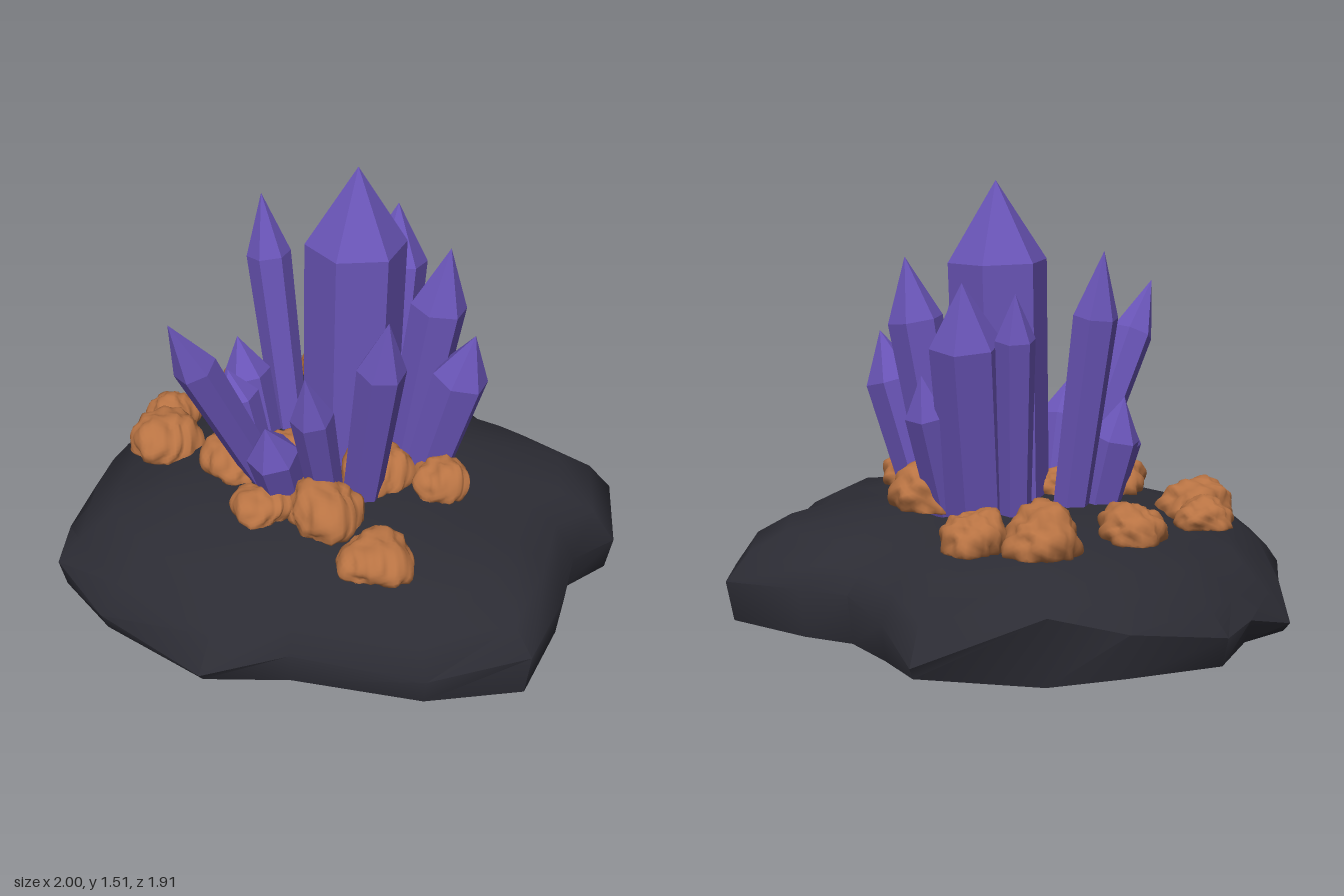
import * as THREE from 'three';
import { mergeVertices, toCreasedNormals } from 'three/addons/utils/BufferGeometryUtils.js';

const mat = (name, color, flatShading = false) =>
  Object.assign(new THREE.MeshStandardMaterial({ color, flatShading }), { name });

// Outline of the slab, counterclockwise from above: [x, z, rim height, shoulder height]
const outline = [
  [0.98, -0.32, 0.12, 0.24], [0.85, -0.61, 0.14, 0.24], [0.52, -0.69, 0.17, 0.24], [0.33, -0.7, 0.17, 0.24],
  [0.14, -0.83, 0.13, 0.22], [-0.02, -0.96, 0.04, 0.17], [-0.45, -0.88, 0.23, 0.26], [-0.66, -0.7, 0.15, 0.22],
  [-0.91, -0.46, 0.1, 0.18], [-0.91, -0.18, 0.08, 0.15], [-1, 0, 0.03, 0.13], [-0.89, 0.27, 0.1, 0.17],
  [-0.82, 0.53, 0.1, 0.19], [-0.73, 0.73, 0.1, 0.18], [-0.45, 0.87, 0.06, 0.16], [0, 0.95, 0.03, 0.15],
  [0.27, 0.81, 0.12, 0.2], [0.72, 0.69, 0.1, 0.2], [1, 0.48, 0.16, 0.24], [0.97, 0.13, 0.16, 0.26],
  [0.9, -0.13, 0.13, 0.26],
];

// Slab: rings shrinking from the outline up to a gently domed plateau
function slabGeometry() {
  const n = outline.length;
  const rings = [
    [0.975, () => 0], [1, rim => rim], [0.92, (rim, h) => h], [0.8, (rim, h) => 0.19 + h / 2],
    [0.6, (rim, h) => 0.305 + h / 5], [0.42, () => 0.393], [0.2, () => 0.4],
  ];
  const pos = [], index = [];
  for (const [s, height] of rings) {
    for (const [x, z, rim, h] of outline) pos.push(x * s, height(rim, h), z * s);
  }
  for (let k = 0; k < rings.length - 1; k++) {
    for (let i = 0; i < n; i++) {
      const a = k * n + i, b = k * n + (i + 1) % n;
      index.push(a, b, b + n, a, b + n, a + n);
    }
  }
  // Centre points of the top and of the flat underside
  const top = rings.length * n, bottom = top + 1, last = top - n;
  pos.push(0, 0.4, 0, 0, 0, 0);
  for (let i = 0; i < n; i++) {
    const j = (i + 1) % n;
    index.push(top, last + i, last + j, bottom, j, i);
  }
  const g = new THREE.BufferGeometry();
  g.setAttribute('position', new THREE.Float32BufferAttribute(pos, 3));
  g.setIndex(index);
  return toCreasedNormals(g, 0.95);
}

// Six-sided crystal from its foot to its tip, slightly wider at the shoulder
function crystal(foot, tip, r, shoulder, taper, material) {
  const a = new THREE.Vector3(...foot), b = new THREE.Vector3(...tip);
  const dir = b.clone().sub(a), len = dir.length();
  const profile = [[r * taper, -0.03], [r, len * shoulder], [0, len]].map(p => new THREE.Vector2(...p));
  const mesh = new THREE.Mesh(new THREE.LatheGeometry(profile, 6, 0.1), material);
  mesh.position.copy(a);
  mesh.quaternion.setFromUnitVectors(new THREE.Vector3(0, 1, 0), dir.normalize());
  return mesh;
}

// Craggy nugget with a flat underside at y = 0
function nuggetGeometry(r, height, seed) {
  let g = new THREE.IcosahedronGeometry(1, 8);
  g.deleteAttribute('normal');
  g.deleteAttribute('uv');
  g = mergeVertices(g);
  const p = g.attributes.position, v = new THREE.Vector3();
  for (let i = 0; i < p.count; i++) {
    v.fromBufferAttribute(p, i);
    const bump = 0.08 * Math.sin(2.7 * v.x + 1.9 * v.y - 1.3 * v.z + seed)
      + 0.07 * Math.sin(3.1 * v.z - 2.3 * v.x + seed * 2.3)
      + 0.05 * Math.sin(6.1 * v.x + 4.3 * v.z + 3.7 * v.y + seed * 3.1)
      + 0.04 * Math.sin(9.7 * v.z - 7.1 * v.x + 5.3 * v.y + seed * 1.7)
      + 0.025 * Math.sin(17 * v.x - 11 * v.z + seed) + 0.025 * Math.sin(19 * v.z + 13 * v.y + seed);
    v.multiplyScalar(0.97 + bump);
    p.setXYZ(i, v.x * r, (Math.max(v.y, -0.3) + 0.3) * height / 1.3, v.z * r);
  }
  g.computeVertexNormals();
  return g;
}

// Each crystal: foot x, foot z, tip x, y, z, radius, shoulder fraction, foot taper
const crystals = {
  centralCrystal: [0.05, -0.025, 0.07, 1.515, -0.04, 0.178, 0.75, 0.95],
  backCrystalLarge: [0.04, -0.29, 0.02, 1.2, -0.45, 0.125, 0.74, 0.88],
  backCrystalLeft: [-0.1, -0.28, -0.15, 1.165, -0.4, 0.07, 0.8, 0.8],
  backCrystalRight: [0.14, -0.29, 0.18, 0.88, -0.43, 0.085, 0.72, 0.85],
  leftCrystalTall: [-0.23, -0.08, -0.36, 1.29, -0.12, 0.08, 0.75, 0.8],
  leftCrystalLow: [-0.3, 0.02, -0.39, 0.77, 0.02, 0.09, 0.62, 0.85],
  leftCrystalSmall: [-0.28, 0.12, -0.36, 0.7, 0.14, 0.085, 0.66, 0.85],
  rightCrystalTall: [0.25, -0.08, 0.38, 1.245, -0.13, 0.1, 0.74, 0.8],
  rightCrystalLow: [0.35, -0.05, 0.51, 0.97, -0.07, 0.1, 0.7, 0.8],
  frontCrystalTall: [0.22, 0.2, 0.36, 1.155, 0.29, 0.085, 0.74, 0.8],
  frontCrystalLeaning: [-0.13, 0.27, -0.3, 1.12, 0.59, 0.077, 0.74, 0.8],
  frontCrystalThin: [0.13, 0.29, 0.14, 0.97, 0.46, 0.075, 0.7, 0.8],
  frontCrystalShort: [-0.01, 0.34, -0.01, 0.74, 0.47, 0.092, 0.62, 0.85],
};

// Each nugget: x, underside y, z, radius, height
const nuggets = [
  [-0.3, 0.34, -0.54, 0.14, 0.16], [-0.08, 0.34, -0.6, 0.11, 0.145], [-0.52, 0.34, -0.27, 0.115, 0.13],
  [-0.68, 0.335, 0.03, 0.1, 0.1], [-0.6, 0.335, 0.2, 0.135, 0.13], [-0.26, 0.39, 0.25, 0.135, 0.125],
  [-0.13, 0.385, 0.1, 0.09, 0.1], [0.42, 0.335, 0.49, 0.13, 0.115], [0.18, 0.385, 0.39, 0.145, 0.145],
  [-0.03, 0.385, 0.45, 0.105, 0.1], [0.23, 0.39, -0.27, 0.135, 0.15], [0.0, 0.385, -0.2, 0.1, 0.115],
  [0.22, 0.39, 0.08, 0.13, 0.13], [0.45, 0.39, 0.04, 0.105, 0.12],
];

export function createModel() {
  const model = new THREE.Group();
  const rock = mat('dark rock', 0x2c2c34);
  const purple = mat('purple crystal', 0x6a55b8, true);
  const orange = mat('orange mineral', 0xb87343);

  const slab = new THREE.Mesh(slabGeometry(), rock);
  slab.name = 'rockBase';
  model.add(slab);

  const cluster = new THREE.Group();
  cluster.name = 'crystalCluster';
  for (const [name, [fx, fz, x, y, z, r, shoulder, taper]] of Object.entries(crystals)) {
    const mesh = crystal([fx, 0.39, fz], [x, y, z], r, shoulder, taper, purple);
    mesh.name = name;
    cluster.add(mesh);
  }
  model.add(cluster);

  const stones = new THREE.Group();
  stones.name = 'nuggets';
  nuggets.forEach(([x, y, z, r, height], i) => {
    const mesh = new THREE.Mesh(nuggetGeometry(r, height, i * 1.7 + 0.5), orange);
    mesh.position.set(x, y, z);
    mesh.name = 'nugget' + (i + 1);
    stones.add(mesh);
  });
  model.add(stones);
  return model;
}
